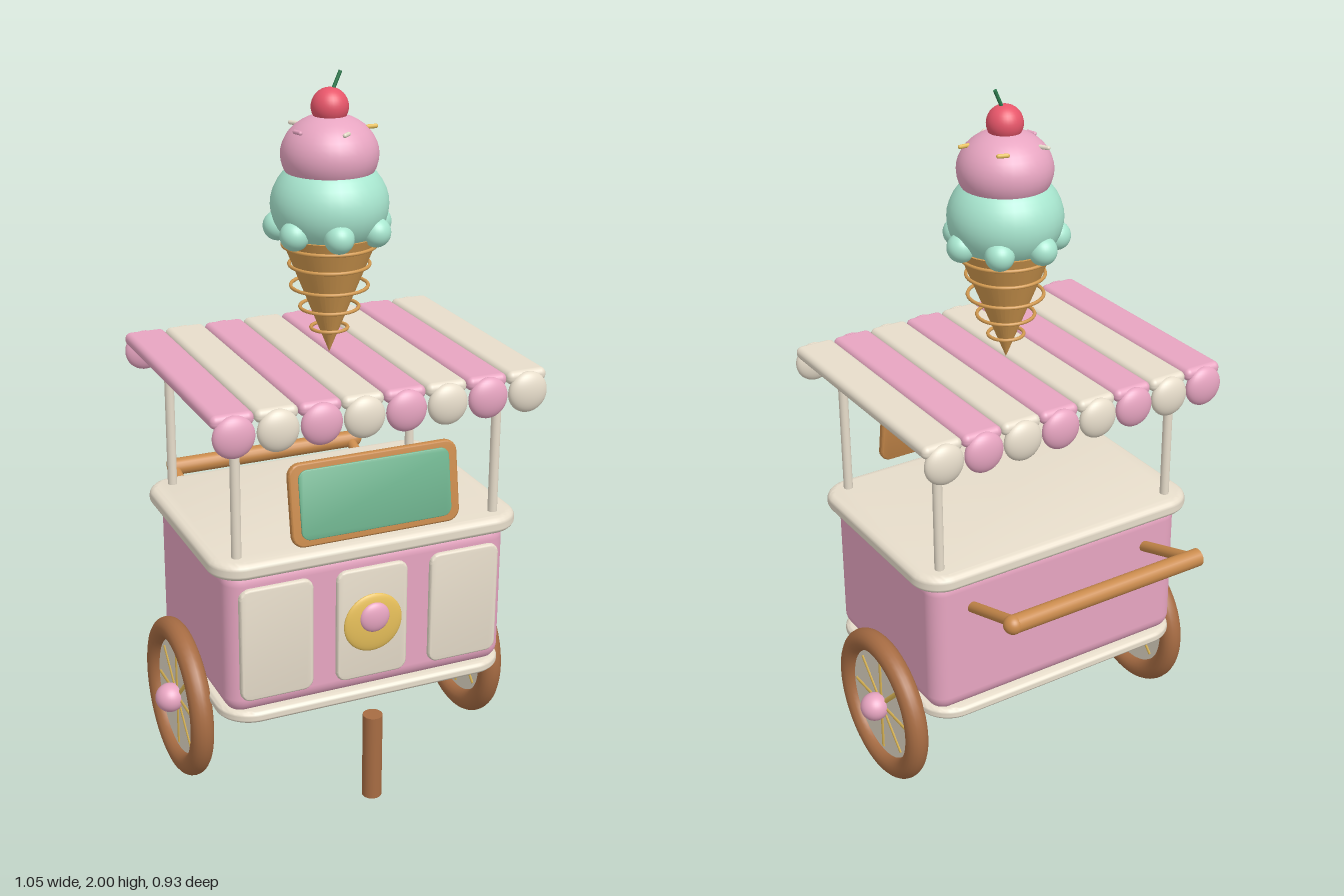
import * as THREE from 'three';
import { toCreasedNormals } from 'three/addons/utils/BufferGeometryUtils.js';
import { RoundedBoxGeometry } from 'three/addons/geometries/RoundedBoxGeometry.js';

const mat = (name, color) => {
  const m = new THREE.MeshStandardMaterial({ color });
  m.name = name;
  return m;
};

// Plate with rounded outline and rounded rim, centred, thickness along z
function plate(w, h, t, r, bevel) {
  const x = w / 2 - bevel, y = h / 2 - bevel, k = Math.max(r - bevel, 0.005);
  const s = new THREE.Shape();
  s.absarc(x - k, y - k, k, 0, Math.PI / 2);
  s.absarc(-x + k, y - k, k, Math.PI / 2, Math.PI);
  s.absarc(-x + k, -y + k, k, Math.PI, Math.PI * 1.5);
  s.absarc(x - k, -y + k, k, Math.PI * 1.5, Math.PI * 2);
  s.closePath();
  const g = new THREE.ExtrudeGeometry(s, {
    depth: t - 2 * bevel, bevelThickness: bevel, bevelSize: bevel, bevelSegments: 5, curveSegments: 8,
  });
  g.translate(0, 0, -t / 2 + bevel);
  return toCreasedNormals(g, 0.7);
}

export function createModel() {
  const pink = mat('pink', 0xf9b2d0), cream = mat('cream', 0xfff4e0);
  const wood = mat('honeyWood', 0xc98a4b), darkWood = mat('darkWood', 0xa76c43);
  const boardGreen = mat('boardGreen', 0x6fb48f), mint = mat('mint', 0xa8e6cf);
  const gold = mat('gold', 0xf0c75e), red = mat('cherryRed', 0xe8566a);
  const stemGreen = mat('stemGreen', 0x2f7d50), waffle = mat('waffle', 0xd39a50);

  const model = new THREE.Group();
  model.name = 'iceCreamCart';
  const CZ = 0.075; // middle of the cart body

  const add = (name, geo, material, x, y, z, parent = model) => {
    const m = new THREE.Mesh(geo, material);
    m.name = name;
    m.position.set(x, y, z);
    parent.add(m);
    return m;
  };
  const ball = (name, r, material, x, y, z, sx = 1, sy = 1, sz = 1, parent = model) => {
    const m = add(name, new THREE.SphereGeometry(r, 32, 20), material, x, y, z, parent);
    m.scale.set(sx, sy, sz);
    return m;
  };
  // Round rod between two points
  const rod = (name, a, b, r, material, parent = model) => {
    const p = new THREE.Vector3(...a), q = new THREE.Vector3(...b);
    const d = q.clone().sub(p);
    const m = add(name, new THREE.CylinderGeometry(r, r, d.length(), 16), material, 0, 0, 0, parent);
    m.position.copy(p).add(q).multiplyScalar(0.5);
    m.quaternion.setFromUnitVectors(new THREE.Vector3(0, 1, 0), d.normalize());
    return m;
  };

  // Body, base trim and counter
  add('body', new RoundedBoxGeometry(0.835, 0.44, 0.58, 5, 0.05), pink, 0, 0.55, CZ);
  add('baseTrim', plate(0.86, 0.62, 0.035, 0.1, 0.017).rotateX(-Math.PI / 2), cream, 0, 0.327, CZ);
  add('counter', plate(0.91, 0.65, 0.05, 0.09, 0.024).rotateX(-Math.PI / 2), cream, 0, 0.775, CZ);

  // Front panels and medallion
  for (const x of [-0.28, 0, 0.28]) {
    add('frontPanel', plate(0.212, 0.335, 0.022, 0.03, 0.008), cream, x, 0.547, 0.366);
  }
  ball('medallion', 0.087, gold, 0, 0.548, 0.378, 1, 1, 0.17);
  ball('medallionKnob', 0.044, pink, 0, 0.568, 0.388, 1, 1, 0.4);

  // Tilted menu board
  const sign = new THREE.Group();
  sign.name = 'menuBoard';
  sign.position.set(0, 0.935, 0.377);
  sign.rotation.x = -0.16;
  model.add(sign);
  add('boardFrame', plate(0.49, 0.228, 0.02, 0.035, 0.006), wood, 0, 0, 0, sign);
  add('boardFace', plate(0.438, 0.19, 0.008, 0.025, 0.002), boardGreen, 0, 0, 0.01, sign);

  // Awning posts
  for (const x of [-0.38, 0.38]) {
    for (const z of [0.34, -0.188]) rod('awningPost', [x, 0.78, z], [x, 1.22, z], 0.0135, cream);
  }

  // Striped awning with scalloped ends
  for (let i = 0; i < 8; i++) {
    const x = (i - 3.5) * 0.119, m = i % 2 ? cream : pink;
    add('awningStripe', new RoundedBoxGeometry(0.117, 0.037, 0.735, 4, 0.017), m, x, 1.222, CZ - 0.002);
    for (const z of [0.438, -0.291]) ball('scallop', 0.057, m, x, 1.181, z, 1, 1, 0.47);
  }

  // Wheels
  for (const side of [-1, 1]) {
    const wheel = new THREE.Group();
    wheel.name = side > 0 ? 'leftWheel' : 'rightWheel';
    wheel.position.set(side * 0.453, 0.237, 0.038);
    model.add(wheel);
    add('tyre', new THREE.TorusGeometry(0.198, 0.033, 18, 56).rotateY(Math.PI / 2), darkWood, 0, 0, 0, wheel);
    add('wheelDisc', new THREE.CylinderGeometry(0.185, 0.185, 0.012, 48).rotateZ(Math.PI / 2), cream, 0, 0, 0, wheel);
    for (let i = 0; i < 4; i++) {
      const a = i * Math.PI / 4, y = 0.153 * Math.cos(a), z = 0.153 * Math.sin(a);
      rod('spoke', [0, -y, -z], [0, y, z], 0.0095, gold, wheel);
    }
    ball('hub', 0.042, pink, side * 0.029, 0, 0, 1, 1, 1, wheel);
  }

  // Front prop leg
  add('frontLeg', new THREE.CylinderGeometry(0.028, 0.028, 0.26, 24), darkWood, 0, 0.13, 0.384);

  // Push handle
  for (const x of [-0.293, 0.293]) rod('handleArm', [x, 0.652, -0.19], [x, 0.737, -0.443], 0.016, wood);
  rod('handleBar', [-0.308, 0.738, -0.443], [0.308, 0.738, -0.443], 0.026, wood);
  ball('handleKnob', 0.027, wood, 0.307, 0.738, -0.443);

  // Giant ice cream
  const cone = new THREE.Group();
  cone.name = 'iceCream';
  cone.position.z = CZ - 0.003;
  model.add(cone);
  add('waffleCone', new THREE.ConeGeometry(0.135, 0.335, 32).rotateX(Math.PI), waffle, 0, 1.402, 0, cone);
  for (const [y, r] of [[1.305, 0.05], [1.365, 0.08], [1.425, 0.105], [1.485, 0.109], [1.54, 0.127]]) {
    add('waffleRing', new THREE.TorusGeometry(r, 0.005, 8, 40).rotateX(Math.PI / 2), waffle, 0, y, 0, cone);
  }
  ball('mintScoop', 0.159, mint, 0, 1.65, 0, 1, 0.85, 1, cone);
  for (let i = 0; i < 7; i++) {
    const a = i * Math.PI * 2 / 7;
    ball('mintDrip', 0.04, mint, 0.139 * Math.cos(a), 1.588, 0.139 * Math.sin(a), 1, 1, 1, cone);
  }
  ball('pinkScoop', 0.131, pink, 0, 1.783, 0, 1, 0.82, 1, cone);

  // Sprinkles: position, heading and colour
  const sprinkles = [
    [-0.065, -0.088, -1.05, cream], [0.063, -0.09, -0.35, gold], [0.105, 0.034, 0, gold],
    [-0.105, 0.034, 1.8, pink], [0, 0.11, 0.75, cream],
  ];
  for (const [x, z, a, m] of sprinkles) {
    const s = add('sprinkle', new THREE.CapsuleGeometry(0.006, 0.024, 4, 8).rotateZ(Math.PI / 2), m, x, 1.853, z, cone);
    s.rotation.y = a;
  }

  // Cherry with stem
  ball('cherry', 0.05, red, 0, 1.907, 0, 1, 1, 1, cone);
  rod('cherryStem', [0.004, 1.94, 0], [0.03, 1.998, 0], 0.005, stemGreen, cone);

  return model;
}
